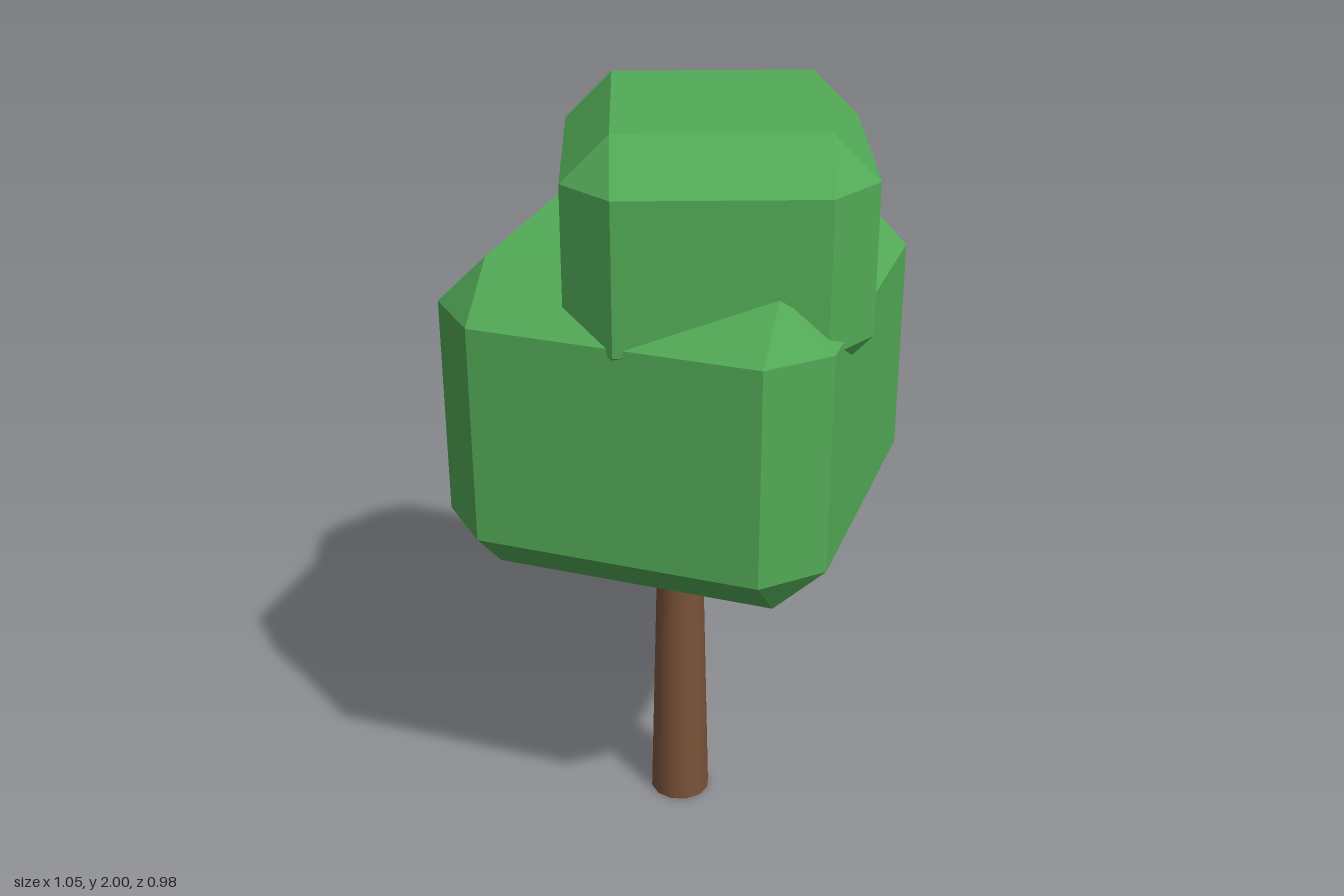
import * as THREE from 'three';
import { ConvexGeometry } from 'three/addons/geometries/ConvexGeometry.js';

// Box with every edge and corner cut off flat, centred on the origin
function chamferedBox(halfWidth, halfHeight, cut) {
  const points = [];
  for (const sx of [-1, 1]) for (const sy of [-1, 1]) for (const sz of [-1, 1]) {
    const inner = halfWidth - cut;
    const innerY = halfHeight - cut;
    points.push(
      new THREE.Vector3(sx * halfWidth, sy * innerY, sz * inner),
      new THREE.Vector3(sx * inner, sy * halfHeight, sz * inner),
      new THREE.Vector3(sx * inner, sy * innerY, sz * halfWidth),
    );
  }
  return new ConvexGeometry(points);
}

export function createModel() {
  const tree = new THREE.Group();
  tree.name = 'tree';

  const leaves = new THREE.MeshStandardMaterial({ color: 0x52aa56 });
  leaves.name = 'leaf green';
  const bark = new THREE.MeshStandardMaterial({ color: 0x7a5238 });
  bark.name = 'bark brown';

  // Tapered trunk, running up into the foliage
  const trunk = new THREE.Mesh(new THREE.CylinderGeometry(0.055, 0.08, 1, 12), bark);
  trunk.name = 'trunk';
  trunk.position.y = 0.5;
  tree.add(trunk);

  // Foliage blocks: half width, half height, cut, position, turn in degrees
  const blocks = [
    ['mainFoliage', 0.48, 0.405, 0.128, [0, 1.263, 0], 0],
    ['upperFoliage', 0.352, 0.295, 0.112, [0.112, 1.705, 0.075], 20],
    ['lowerFoliage', 0.256, 0.22, 0.092, [-0.227, 0.967, -0.187], 40],
  ];
  for (const [name, halfWidth, halfHeight, cut, position, turn] of blocks) {
    const block = new THREE.Mesh(chamferedBox(halfWidth, halfHeight, cut), leaves);
    block.name = name;
    block.position.set(...position);
    block.rotation.y = THREE.MathUtils.degToRad(turn);
    tree.add(block);
  }

  return tree;
}
